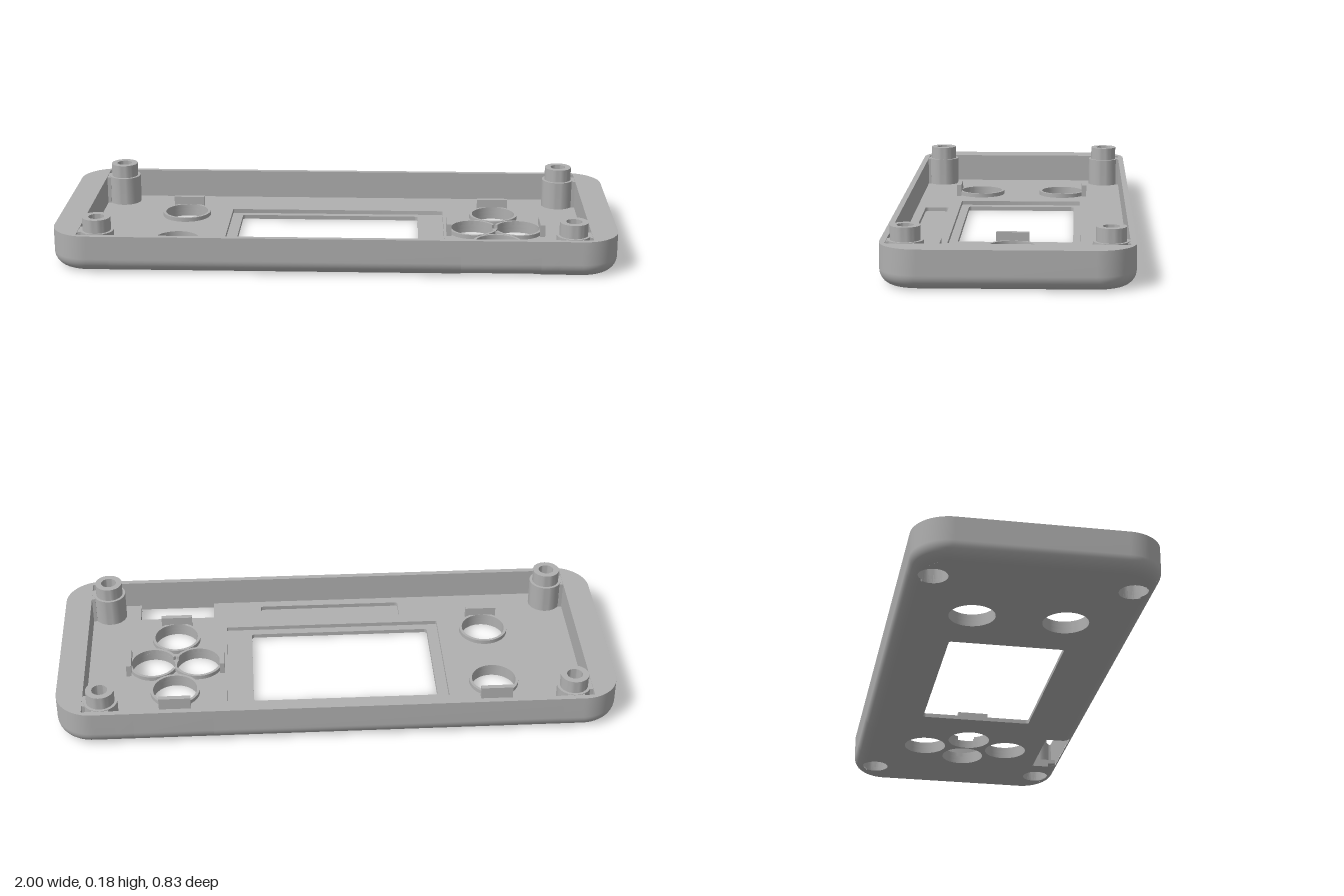
import * as THREE from 'three';
import { toCreasedNormals } from 'three/addons/utils/BufferGeometryUtils.js';

const CX = 0.87, CZ = 0.285, R = 0.13;      // corner centres and radius of the outline
const FILLET = 0.05, TOP = 0.135, FLOOR = 0.03, STEP = 0.015;
const IX = 0.905, IZ = 0.395;               // cavity half sizes
const POST = { x: 0.84, z: 0.333, r: 0.05 };
const NOTCH = { x0: 0.445, x1: 0.725, z0: 0.3 };
const SIGNS = [[1, 1], [-1, 1], [-1, -1], [1, -1]];
// button x, z, direction of its tab
const BUTTONS = [
  [-0.58, -0.163, 0, -1], [-0.58, 0.16, 0, 1], [0.585, -0.163, 0, -1],
  [0.585, 0.16, 0, 1], [0.502, 0, -1, 0], [0.668, 0, 1, 0],
];

const V = (x, y) => new THREE.Vector2(x, y);

function rect(x0, x1, z0, z1, r = 0.01, Type = THREE.Path) {
  const p = new Type();
  p.absarc(x1 - r, z1 - r, r, 0, Math.PI / 2);
  p.absarc(x0 + r, z1 - r, r, Math.PI / 2, Math.PI);
  p.absarc(x0 + r, z0 + r, r, Math.PI, Math.PI * 1.5);
  p.absarc(x1 - r, z0 + r, r, Math.PI * 1.5, Math.PI * 2);
  p.closePath();
  return p;
}

function circle(x, z, r) {
  return new THREE.Path().absarc(x, z, r, 0, Math.PI * 2);
}

// Extrude a plan shape (x, z) between two heights
function slab(shape, y0, y1) {
  const g = new THREE.ExtrudeGeometry(shape, { depth: y1 - y0, bevelEnabled: false, curveSegments: 24 });
  return toCreasedNormals(g.rotateX(Math.PI / 2).translate(0, y1, 0), 0.5);
}

// Height of the rounded underside at a plan position
function undersideY(x, z) {
  const inset = R - Math.hypot(Math.max(Math.abs(x) - CX, 0), Math.max(Math.abs(z) - CZ, 0));
  if (inset >= FILLET) return 0;
  const d = FILLET - Math.max(inset, 0);
  return FILLET - Math.sqrt(Math.max(FILLET * FILLET - d * d, 0));
}

// Push the fillet out of the screw holes and the front notch
function pushOut(x, z) {
  const dx = Math.abs(x) - POST.x;
  let az = Math.abs(z);
  if (Math.abs(dx) < POST.r && az > CZ) az = Math.max(az, POST.z + Math.sqrt(POST.r ** 2 - dx * dx));
  if (z > 0 && x > NOTCH.x0 && x < NOTCH.x1) az = Math.max(az, IZ);
  return Math.sign(z) * az;
}

// Outer skin: rings from the underside up over the fillet to the rim
function skinGeometry() {
  const base = [], n = 20;
  const post = [];
  for (let i = 0; i <= 8; i++) post.push(0.865 - i * 0.01);
  const xs = [...post, 0.7251, 0.7249, 0.4451, 0.4449, ...post.map(x => -x).reverse()];
  SIGNS.forEach(([sx, sz], q) => {
    for (let i = 0; i <= n; i++) base.push([sx * CX, sz * CZ, (q + i / n) * Math.PI / 2]);
    if (q === 0) xs.forEach(x => base.push([x, CZ, Math.PI / 2]));
    if (q === 2) [...xs].reverse().forEach(x => base.push([x, -CZ, Math.PI * 1.5]));
  });
  const pos = [], idx = [], levels = 10, count = base.length;
  for (let j = 0; j <= levels; j++) {
    const t = FILLET * (1 - Math.sin(Math.min(j / (levels - 1), 1) * Math.PI / 2));
    for (const [cx, cz, a] of base) {
      const x = cx + (R - t) * Math.cos(a);
      const z = pushOut(x, cz + (R - t) * Math.sin(a));
      pos.push(x, j === levels ? TOP : undersideY(x, z), z);
    }
  }
  for (let j = 0; j < levels; j++) for (let i = 0; i < count; i++) {
    const a = j * count + i, b = j * count + (i + 1) % count;
    idx.push(a, a + count, b, b, a + count, b + count);
  }
  const g = new THREE.BufferGeometry();
  g.setAttribute('position', new THREE.Float32BufferAttribute(pos, 3));
  g.setIndex(idx);
  g.computeVertexNormals();
  return g;
}

// Flat underside with bites for the screw holes and the notch
function plateShape() {
  const quarter = [], r = R - FILLET, ze = CZ + r;
  for (let i = 0; i <= 12; i++) {
    const a = i / 12 * 1.44;
    quarter.push([CX + r * Math.cos(a), CZ + r * Math.sin(a)]);
  }
  const a0 = Math.asin((ze - POST.z) / POST.r), a1 = -Math.PI - a0;
  for (let i = 0; i <= 28; i++) {
    const a = a0 + (a1 - a0) * i / 28;
    quarter.push([POST.x + POST.r * Math.cos(a), POST.z + POST.r * Math.sin(a)]);
  }
  const pts = [];
  SIGNS.forEach(([sx, sz], q) => {
    const part = quarter.map(([x, z]) => V(sx * x, sz * z));
    pts.push(...(q % 2 ? part.reverse() : part));
    if (q === 0) pts.push(V(NOTCH.x1, ze), V(NOTCH.x1, NOTCH.z0), V(NOTCH.x0, NOTCH.z0), V(NOTCH.x0, ze));
  });
  return new THREE.Shape(pts);
}

export function createModel() {
  const model = new THREE.Group();
  const grey = new THREE.MeshStandardMaterial({ color: 0xb0b0b0 });
  grey.name = 'grey plastic';
  const add = (name, geometry, x = 0, y = 0, z = 0) => {
    const m = new THREE.Mesh(geometry, grey);
    m.name = name;
    m.position.set(x, y, z);
    model.add(m);
    return m;
  };
  const buttonHoles = () => BUTTONS.map(([x, z]) => circle(x, z, 0.08));

  add('outerSkin', skinGeometry());

  // Face plate with screen window and button holes
  const plate = plateShape();
  plate.holes.push(rect(-0.37, 0.3, -0.21, 0.2), ...buttonHoles());
  add('facePlate', slab(plate, 0, STEP));

  // Inner floor with screen recess and shallow pocket
  const c = 0.06;
  const floor = new THREE.Shape();
  floor.absarc(IX - c, IZ - c, c, 0, Math.PI / 2);
  floor.lineTo(NOTCH.x1, IZ);
  floor.lineTo(NOTCH.x1, NOTCH.z0);
  floor.lineTo(NOTCH.x0, NOTCH.z0);
  floor.lineTo(NOTCH.x0, IZ);
  floor.absarc(-IX + c, IZ - c, c, Math.PI / 2, Math.PI);
  floor.absarc(-IX + c, -IZ + c, c, Math.PI, Math.PI * 1.5);
  floor.absarc(IX - c, -IZ + c, c, Math.PI * 1.5, Math.PI * 2);
  floor.closePath();
  floor.holes.push(rect(-0.41, 0.395, -0.235, 0.23, 0.004), rect(-0.27, 0.262, 0.273, 0.362), ...buttonHoles(),
    ...SIGNS.map(([sx, sz]) => circle(sx * POST.x, sz * POST.z, POST.r)));
  add('innerFloor', slab(floor, STEP, FLOOR));

  // Rim and inside walls
  const rim = rect(-1, 1, -CZ - R, CZ + R, R, THREE.Shape);
  rim.holes.push(rect(-IX, IX, -IZ, IZ, 0.002));
  add('rim', new THREE.ShapeGeometry(rim, 20).rotateX(-Math.PI / 2), 0, TOP, 0);
  const wallBottom = 0.0116, wallHeight = TOP - wallBottom, wallY = wallBottom + wallHeight / 2;
  for (const s of [1, -1]) {
    add('longInnerWall', new THREE.PlaneGeometry(IX * 2, wallHeight), 0, wallY, s * IZ).rotation.y = s > 0 ? Math.PI : 0;
    add('endInnerWall', new THREE.PlaneGeometry(IZ * 2, wallHeight), s * IX, wallY, 0).rotation.y = -s * Math.PI / 2;
  }

  // Hollow screw posts with webs joining them to the walls
  const profile = [V(0.06, FLOOR), V(0.06, TOP), V(0.05, TOP), V(0.05, 0.183), V(0.028, 0.183),
    V(0.028, 0.1), V(POST.r, 0.1), V(POST.r, 0.005)];
  const postGeometry = toCreasedNormals(new THREE.LatheGeometry(profile, 40), 0.5);
  const webHeight = TOP - FLOOR - 0.002, webY = FLOOR + webHeight / 2;
  for (const [sx, sz] of SIGNS) {
    add('screwPost', postGeometry, sx * POST.x, 0, sz * POST.z);
    add('postWeb', new THREE.BoxGeometry(0.06, webHeight, 0.01), sx * 0.84, webY, sz * 0.39);
    add('postWeb', new THREE.BoxGeometry(0.013, webHeight, 0.06), sx * 0.8985, webY, sz * 0.33);
  }

  // Raised collars and guide tabs around the buttons
  for (const [x, z, dx, dz] of BUTTONS) {
    const gap = dx ? 0.42 : 0.0005, start = Math.atan2(-dz, -dx);
    const collar = new THREE.Shape();
    collar.absarc(0, 0, 0.09, start + gap, start + Math.PI * 2 - gap, false);
    collar.absarc(0, 0, 0.08, start + Math.PI * 2 - gap, start + gap, true);
    collar.closePath();
    add('buttonCollar', slab(collar, FLOOR, 0.045), x, 0, z);
    const tab = new THREE.BoxGeometry(dx ? 0.018 : 0.115, 0.045, dx ? 0.115 : 0.018);
    add('buttonTab', tab, x + dx * 0.089, FLOOR + 0.0225, z + dz * 0.089);
  }
  return model;
}
